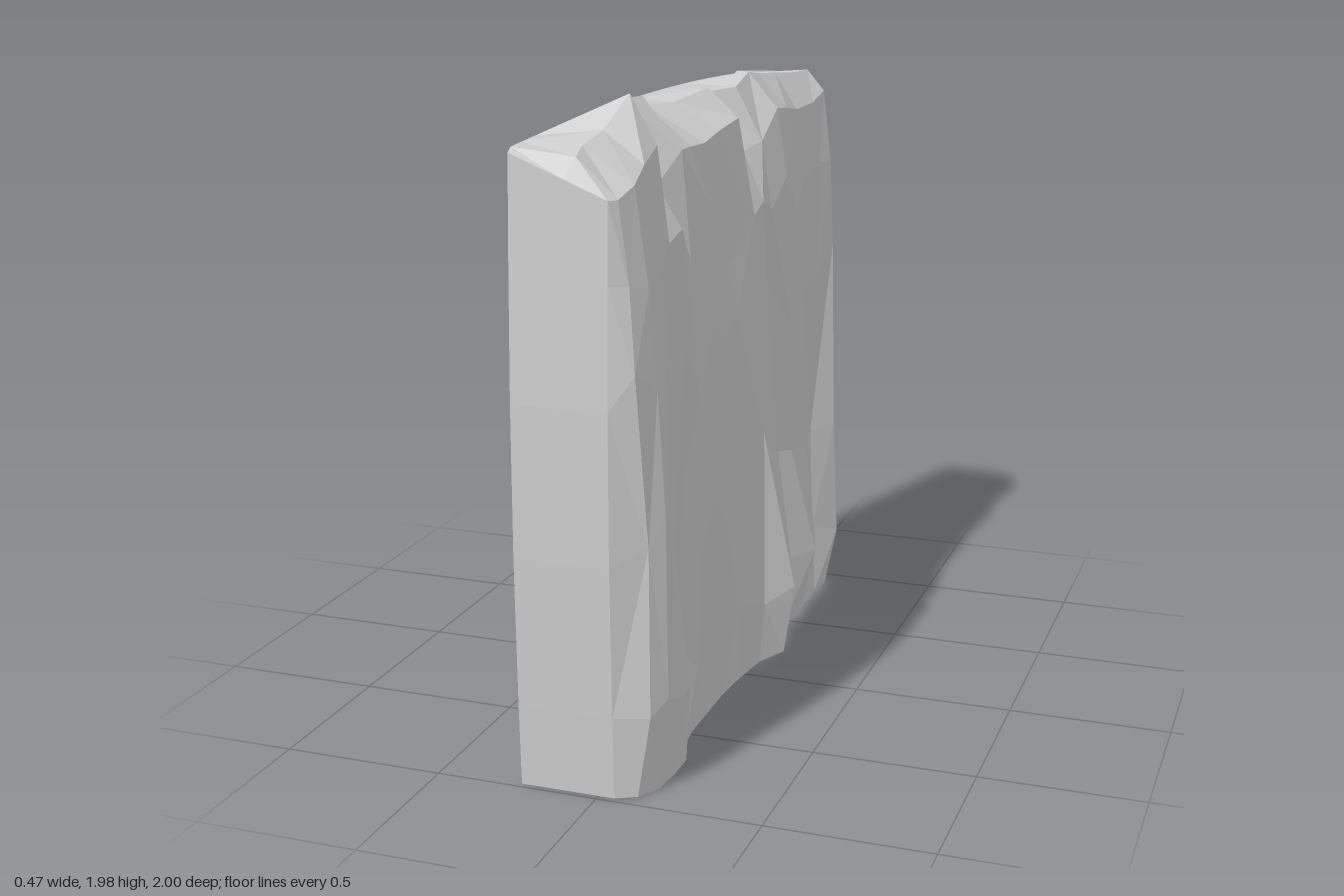
import * as THREE from 'three';

const BACK_X = -0.24;

// Rock face columns: z, then x at the heights in LEVELS (last one is the rim)
const LEVELS = [0, 0.25, 0.7, 1.15, 1.5];
const FACE = [
  [-0.94, 0.11, 0.14, 0.13, 0.13, 0.11, 0.08],
  [-0.87, 0.14, 0.18, 0.17, 0.15, 0.14, 0.11],
  [-0.77, 0.13, 0.12, 0.11, 0.13, 0.12, 0.10],
  [-0.65, 0.13, 0.15, 0.14, 0.11, 0.10, 0.08],
  [-0.53, 0.14, 0.20, 0.16, 0.14, 0.13, 0.08],
  [-0.43, 0.12, 0.13, 0.14, 0.13, 0.12, 0.08],
  [-0.30, 0.16, 0.19, 0.10, 0.09, 0.11, 0.07],
  [-0.20, 0.19, 0.23, 0.16, 0.14, 0.11, 0.04],
  [-0.09, 0.14, 0.15, 0.15, 0.13, 0.11, 0.06],
  [0.06, 0.12, 0.12, 0.12, 0.11, 0.09, 0.05],
  [0.20, 0.11, 0.12, 0.13, 0.12, 0.10, 0.05],
  [0.35, 0.11, 0.12, 0.14, 0.13, 0.11, 0.06],
  [0.48, 0.11, 0.13, 0.14, 0.13, 0.11, 0.08],
  [0.58, 0.12, 0.10, 0.11, 0.12, 0.11, 0.04],
  [0.68, 0.16, 0.17, 0.13, 0.12, 0.11, 0.08],
  [0.78, 0.16, 0.18, 0.16, 0.14, 0.12, 0.08],
  [0.88, 0.15, 0.18, 0.17, 0.15, 0.13, 0.09],
  [0.95, 0.11, 0.15, 0.14, 0.12, 0.10, 0.07],
];

// Crown above each face column: rim height, ridge x, ridge height
const CROWN = [
  [1.81, 0.02, 1.86], [1.82, 0.05, 1.89], [1.79, 0.03, 1.89],
  [1.78, 0.00, 1.90], [1.80, -0.02, 1.91], [1.81, -0.02, 1.925],
  [1.72, -0.02, 1.89], [1.70, -0.10, 1.88], [1.82, -0.04, 1.91],
  [1.80, -0.10, 1.88], [1.78, -0.14, 1.885], [1.79, -0.12, 1.92],
  [1.80, -0.04, 1.95], [1.71, -0.07, 1.95], [1.84, 0.00, 1.98],
  [1.80, -0.04, 1.89], [1.76, -0.06, 1.86], [1.73, -0.05, 1.84],
];

// End walls: x and top height, from the back edge to the corner
const END_BACK = [[BACK_X, 1.865], [-0.1, 1.87], [0.04, 1.84]];
const END_FRONT = [[0.05, 1.73], [-0.1, 1.79], [BACK_X, 1.845]];

function seeded(seed) {
  return () => {
    seed = (seed * 16807) % 2147483647;
    return seed / 2147483647;
  };
}

const groundY = (z) => 0.01 * (1 - z);
const backEdgeY = (z) => 1.855 + 0.03 * (1 - z * z);

// One column of an end wall, slightly bellied, with its strip of roof
function endColumn(x, top, side) {
  const z = (y) => side * (0.97 + 0.03 * Math.sin(Math.PI * Math.min(1, 0.12 + y / 2.1)));
  const wall = [...LEVELS, top].map((y, i) => {
    const h = i === 0 ? groundY(side) : y;
    return new THREE.Vector3(x, h, z(h));
  });
  const corner = side > 0 ? END_FRONT[2] : END_BACK[0];
  const back = new THREE.Vector3(BACK_X, corner[1], z(corner[1]));
  const ridge = wall[wall.length - 1].clone().lerp(back, 0.45);
  return { wall, roof: [ridge, back] };
}

function faceColumn(row, i) {
  const [z, ...xs] = row;
  const [rimY, ridgeX, ridgeY] = CROWN[i];
  const wall = [...LEVELS, rimY].map((y, k) => new THREE.Vector3(xs[k], k === 0 ? groundY(z) : y, z));
  return {
    wall,
    roof: [new THREE.Vector3(ridgeX, ridgeY, z), new THREE.Vector3(BACK_X, backEdgeY(z), z)],
  };
}

// Stitch neighbouring columns into facets with irregular diagonals
function stitch(columns, rand) {
  const pos = [];
  const tri = (...pts) => pts.forEach((p) => pos.push(p.x, p.y, p.z));
  for (let c = 0; c < columns.length - 1; c++) {
    const a = columns[c];
    const b = columns[c + 1];
    for (let r = 0; r < a.length - 1; r++) {
      if (rand() < 0.5) {
        tri(a[r], a[r + 1], b[r]);
        tri(b[r], a[r + 1], b[r + 1]);
      } else {
        tri(a[r], a[r + 1], b[r + 1]);
        tri(a[r], b[r + 1], b[r]);
      }
    }
  }
  const geo = new THREE.BufferGeometry();
  geo.setAttribute('position', new THREE.Float32BufferAttribute(pos, 3));
  geo.computeVertexNormals();
  return geo;
}

export function createModel() {
  const rand = seeded(71);
  const columns = [
    ...END_BACK.map(([x, top]) => endColumn(x, top, -1)),
    ...FACE.map(faceColumn),
    ...END_FRONT.map(([x, top]) => endColumn(x, top, 1)),
  ];

  // Break up the regular grid: shift inner wall points up, down and sideways
  columns.slice(3, -3).forEach(({ wall }) => {
    for (let r = 1; r < wall.length - 1; r++) {
      wall[r].y += (rand() - 0.5) * (r === 1 ? 0.1 : 0.26);
      wall[r].z += (rand() - 0.5) * 0.05;
    }
  });

  const material = new THREE.MeshStandardMaterial({
    color: 0xcccccc, flatShading: true, side: THREE.DoubleSide,
  });
  const group = new THREE.Group();
  group.name = 'cliffWall';

  // Craggy front and end walls, open at the back and underneath
  const walls = new THREE.Mesh(stitch(columns.map((c) => c.wall), rand), material);
  walls.name = 'rockFace';

  // Uneven top running from the rim over the ridge to the back edge
  const top = new THREE.Mesh(
    stitch(columns.map((c) => [c.wall[c.wall.length - 1], ...c.roof]), rand), material);
  top.name = 'rockTop';

  group.add(walls, top);
  return group;
}
